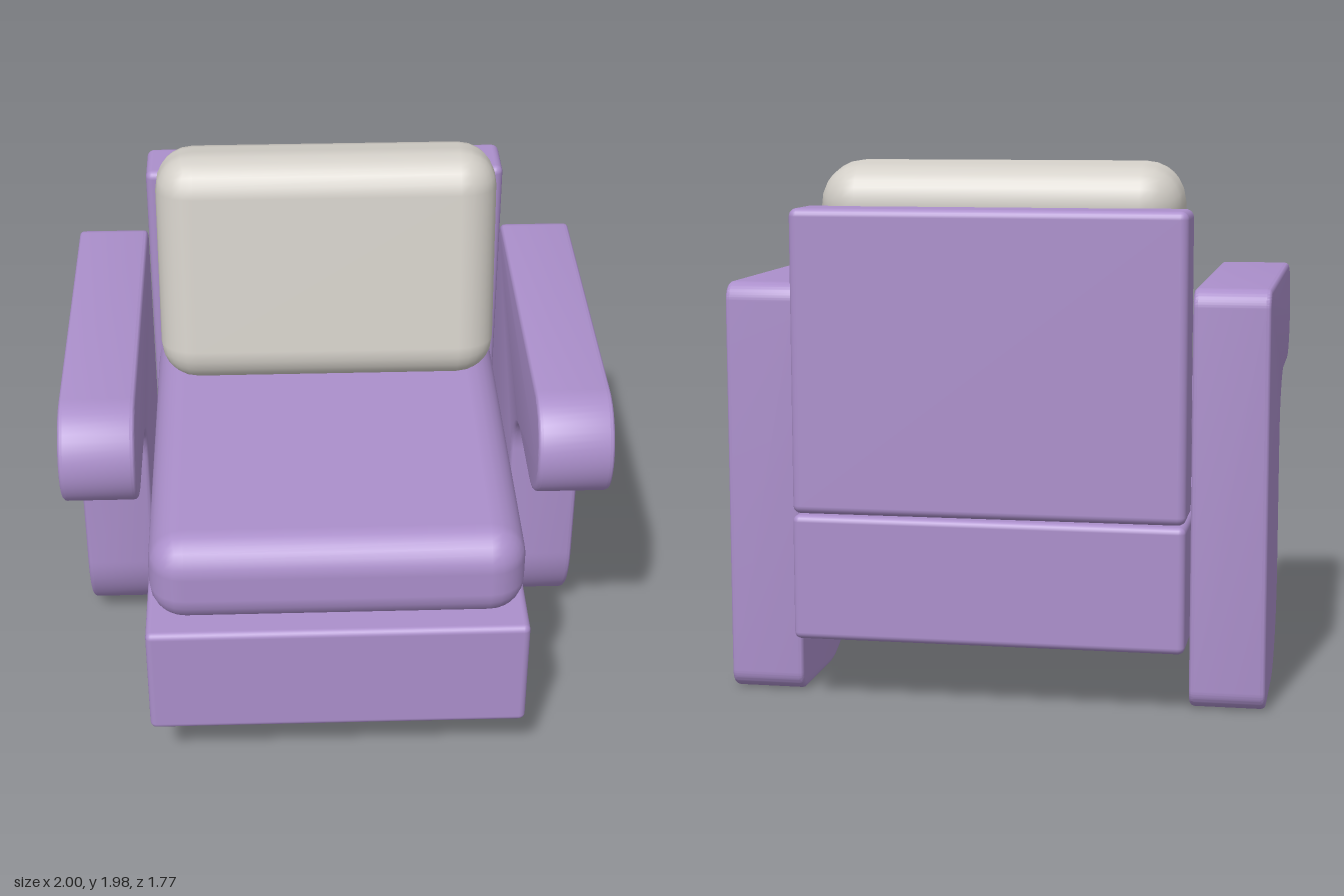
import * as THREE from 'three';
import { toCreasedNormals } from 'three/addons/utils/BufferGeometryUtils.js';
import { RoundedBoxGeometry } from 'three/addons/geometries/RoundedBoxGeometry.js';

const purple = new THREE.MeshStandardMaterial({ name: 'purple fabric', color: 0xab8fcb });
const cream = new THREE.MeshStandardMaterial({ name: 'cream fabric', color: 0xd2cec7 });

// Soft-edged block: size, centre, corner radius
function block(name, [w, h, d], [x, y, z], radius, segments, material) {
  const mesh = new THREE.Mesh(new RoundedBoxGeometry(w, h, d, segments, radius), material);
  mesh.name = name;
  mesh.position.set(x, y, z);
  return mesh;
}

// Side panel of the arm, drawn as (z, y) and extruded across the arm's width
function armGeometry() {
  const top = 1.535, back = -0.745, under = 1.13, post = 0.01, nose = 0.745;
  const r = (top - under) / 2, c = 0.07, bevel = 0.018, width = 0.277;
  const s = new THREE.Shape();
  s.moveTo(back + c, 0);
  s.lineTo(-0.36, 0);
  s.absellipse(-0.36, 0.37, post + 0.36, 0.37, -Math.PI / 2, 0, false); // rounded foot
  s.lineTo(post, under - 0.23);
  s.absarc(post + 0.23, under - 0.23, 0.23, Math.PI, Math.PI / 2, true); // curve under the armrest
  s.lineTo(nose - r, under);
  s.absarc(nose - r, under + r, r, -Math.PI / 2, Math.PI / 2, false); // round nose
  s.lineTo(back + c, top);
  s.absarc(back + c, top - c, c, Math.PI / 2, Math.PI, false);
  s.lineTo(back, c);
  s.absarc(back + c, c, c, Math.PI, Math.PI * 1.5, false);
  const g = new THREE.ExtrudeGeometry(s, {
    depth: width - 2 * bevel, curveSegments: 12,
    bevelEnabled: true, bevelThickness: bevel, bevelSize: bevel, bevelOffset: -bevel, bevelSegments: 3,
  });
  g.translate(0, 0, bevel - width / 2);
  g.rotateY(-Math.PI / 2);
  return toCreasedNormals(g, 0.6);
}

export function createModel() {
  const chair = new THREE.Group();
  chair.name = 'armchair';

  // Base and backrest panel
  chair.add(block('base', [1.436, 0.462, 1.765], [0, 0.469, 0], 0.025, 3, purple));
  chair.add(block('backPanel', [1.436, 1.11, 0.23], [0, 1.26, -0.768], 0.03, 3, purple));

  // Cushions
  chair.add(block('seatCushion', [1.4, 0.365, 1.72], [0, 0.89, 0], 0.135, 3, purple));
  const backCushion = block('backCushion', [1.345, 0.94, 0.36], [0, 1.51, -0.468], 0.15, 3, cream);
  backCushion.rotation.x = -0.165;
  chair.add(backCushion);

  // Arms
  const arm = armGeometry();
  for (const [name, side] of [['leftArm', 1], ['rightArm', -1]]) {
    const mesh = new THREE.Mesh(arm, purple);
    mesh.name = name;
    mesh.position.x = side * 0.8615;
    chair.add(mesh);
  }
  return chair;
}
